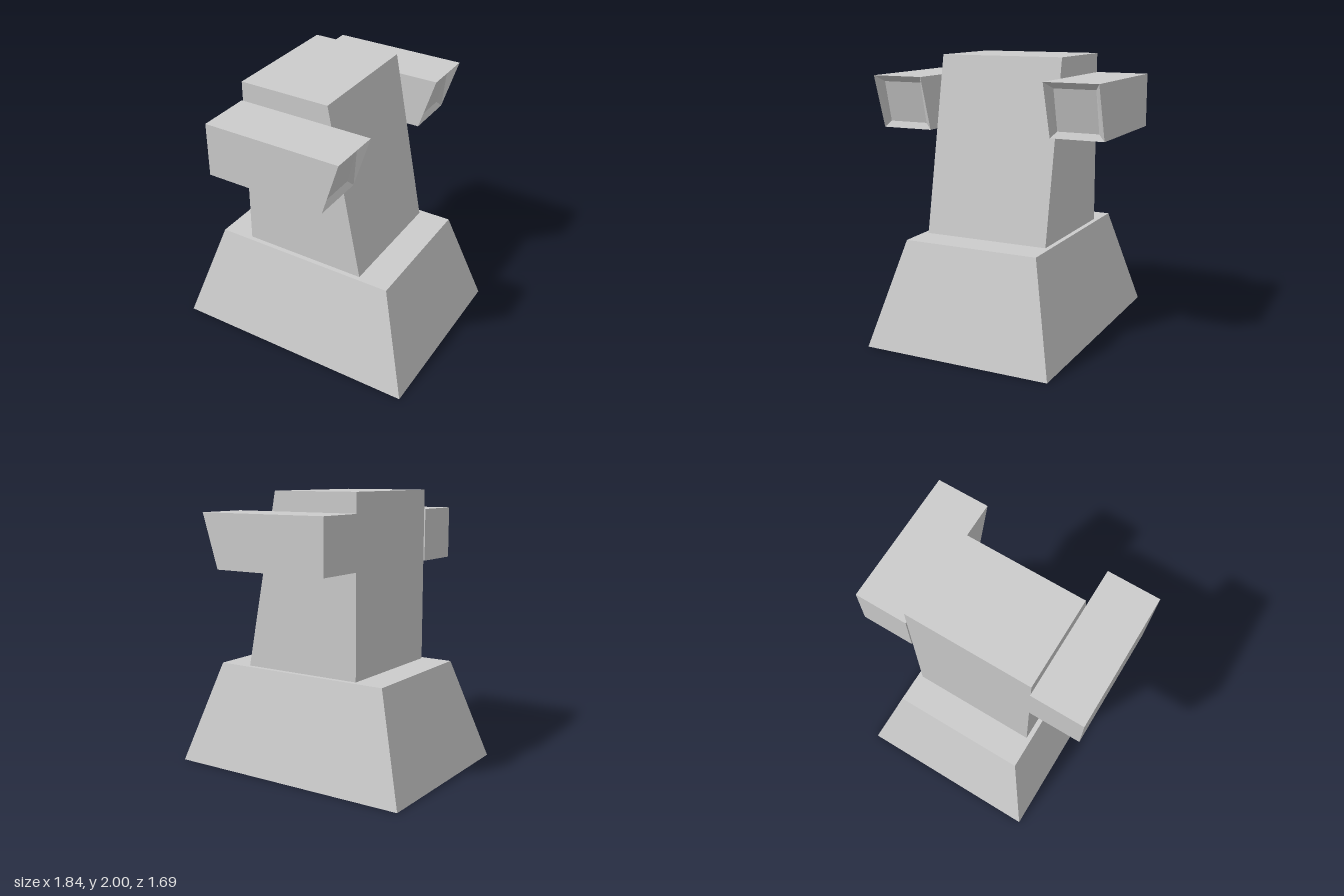
import * as THREE from 'three';

const material = new THREE.MeshStandardMaterial({ color: 0xcccccc, flatShading: true });

// Skin a list of four-cornered rings, closing both ends. Corners run
// counter-clockwise as seen from the last ring's side.
function loft(name, rings) {
  const points = [];
  const quad = (a, b, c, d) => points.push(...a, ...b, ...c, ...a, ...c, ...d);
  for (let r = 0; r < rings.length - 1; r++) {
    const [lo, hi] = [rings[r], rings[r + 1]];
    for (let i = 0; i < 4; i++) {
      const j = (i + 1) % 4;
      quad(lo[i], lo[j], hi[j], hi[i]);
    }
  }
  quad(...[...rings[0]].reverse());
  quad(...rings[rings.length - 1]);
  const geometry = new THREE.BufferGeometry();
  geometry.setAttribute('position', new THREE.Float32BufferAttribute(points, 3));
  geometry.computeVertexNormals();
  const mesh = new THREE.Mesh(geometry, material);
  mesh.name = name;
  return mesh;
}

// Horizontal rectangle at height y
const level = (y, x0, x1, z) => [[x0, y, z], [x1, y, z], [x1, y, -z], [x0, y, -z]];

// Upright rectangle across x, leaning from xLow at the bottom to xHigh at the top
const slice = (xLow, xHigh, y0, y1, z0, z1) =>
  [[xLow, y0, z1], [xLow, y0, z0], [xHigh, y1, z0], [xHigh, y1, z1]];

// Side pod with a slanted, shallowly recessed mouth
function pod(name, z0, z1) {
  const inset = 0.045;
  return loft(name, [
    slice(-0.47, -0.47, 1.48, 1.86, z0, z1),
    slice(0.40, 0.52, 1.48, 1.86, z0, z1),
    slice(0.38, 0.45, 1.48 + inset, 1.86 - inset, z0 + inset, z1 - inset),
  ]);
}

export function createModel() {
  const model = new THREE.Group();
  model.name = 'turret';

  // Tapered pedestal
  model.add(loft('base', [level(0, -0.92, 0.92, 0.685), level(0.74, -0.685, 0.685, 0.495)]));

  // Column with one sloping side
  model.add(loft('column', [level(0.74, -0.46, 0.455, 0.46), level(2, -0.46, 0.205, 0.46)]));

  // Pods on both sides of the column
  model.add(pod('frontPod', 0.46, 0.845));
  model.add(pod('backPod', -0.845, -0.46));

  return model;
}
